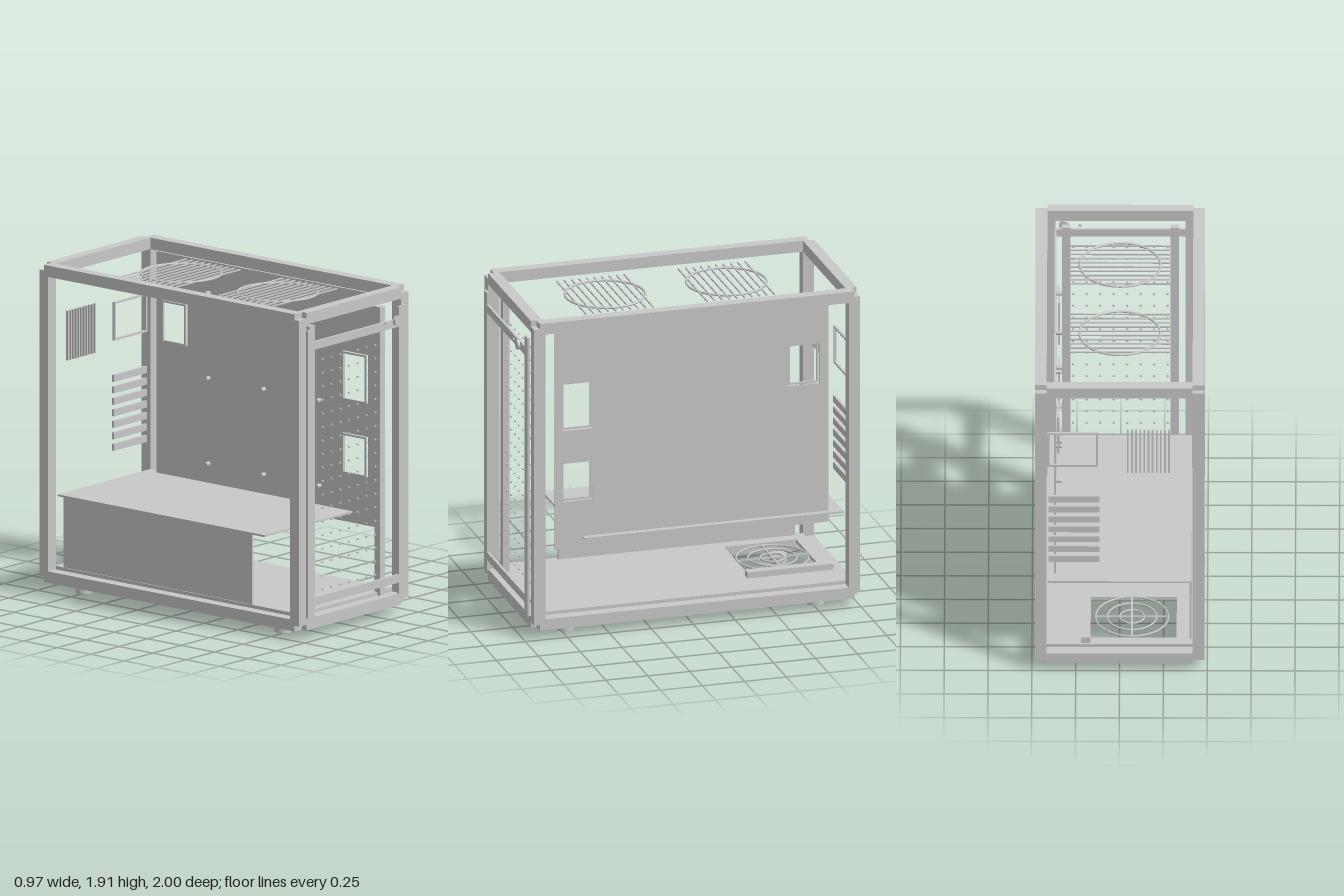
import * as THREE from 'three';

export function createModel() {
  const model = new THREE.Group();
  model.name = 'computerCase';
  const steel = new THREE.MeshStandardMaterial({ color: 0xc8c8c8 });
  steel.name = 'light grey steel';

  const group = (name) => {
    const g = new THREE.Group();
    g.name = name;
    model.add(g);
    return g;
  };
  const add = (parent, name, geometry, x = 0, y = 0, z = 0) => {
    const mesh = new THREE.Mesh(geometry, steel);
    mesh.name = name;
    mesh.position.set(x, y, z);
    parent.add(mesh);
    return mesh;
  };
  // Box given by its lower and upper limits on each axis
  const box = (parent, name, [x0, x1], [y0, y1], [z0, z1]) =>
    add(parent, name, new THREE.BoxGeometry(x1 - x0, y1 - y0, z1 - z0),
      (x0 + x1) / 2, (y0 + y1) / 2, (z0 + z1) / 2);
  const rectangle = (Type, [u0, u1], [v0, v1]) => {
    const s = new Type();
    s.moveTo(u0, v0);
    s.lineTo(u1, v0);
    s.lineTo(u1, v1);
    s.lineTo(u0, v1);
    s.closePath();
    return s;
  };
  // Flat sheet with rectangular cut-outs, extruded along its local z
  const sheet = (u, v, holes, depth) => {
    const shape = rectangle(THREE.Shape, u, v);
    for (const [hu, hv] of holes) shape.holes.push(rectangle(THREE.Path, hu, hv));
    return new THREE.ExtrudeGeometry(shape, { depth, bevelEnabled: false });
  };

  // Outer frame
  const X = 0.483, Y0 = 0.05, Y1 = 1.91, Z0 = -1, Z1 = 0.943, T = 0.067;
  const frame = group('frame');
  for (const x of [-X, X - T]) {
    for (const z of [Z0, Z1 - T])
      box(frame, 'cornerPost', [x, x + T], [Y0 + T / 2, Y1 - T / 2], [z, z + T]);
    for (const y of [Y0, Y1 - T])
      box(frame, 'sideRail', [x, x + T], [y, y + T], [Z0 + T / 2, Z1 - T / 2]);
  }
  for (const y of [Y0, Y1 - T])
    for (const z of [Z0, Z1 - T])
      box(frame, 'crossRail', [-X + T, X - T], [y, y + T], [z, z + T]);

  // Feet
  const feet = group('feet');
  for (const x of [-0.36, 0.36])
    for (const z of [-0.77, 0.72])
      add(feet, 'foot', new THREE.CylinderGeometry(0.05, 0.05, 0.05, 24), x, 0.025, z);

  // Floor with a fan opening (sheet v axis becomes -z)
  const floor = add(model, 'floor',
    sheet([-0.416, 0.416], [-0.876, 0.933], [[[-0.325, 0.175], [0.435, 0.865]]], 0.02), 0, 0.117, 0);
  floor.rotation.x = -Math.PI / 2;

  // Floor fan grille
  const floorGrille = group('floorGrille');
  for (const r of [0.07, 0.14, 0.208])
    add(floorGrille, 'grilleRing', new THREE.TorusGeometry(r, 0.006, 6, 40), -0.07, 0.139, -0.645)
      .rotation.x = Math.PI / 2;
  box(floorGrille, 'grilleSpoke', [-0.28, 0.14], [0.135, 0.143], [-0.65, -0.64]);
  box(floorGrille, 'grilleSpoke', [-0.075, -0.065], [0.135, 0.143], [-0.855, -0.435]);
  box(model, 'supportRail', [0.165, 0.22], [0.137, 0.173], [-0.92, -0.41]);

  // Power supply shroud
  const shroud = group('shroud');
  box(shroud, 'shroudTop', [-0.41, 0.41], [0.546, 0.557], [-0.925, 0.622]);
  box(shroud, 'shroudSide', [-0.41, -0.398], [0.137, 0.546], [-0.88, 0.53]);

  // Motherboard tray with cable openings (sheet u axis becomes -z)
  const openings = [
    [[-0.74, -0.56], [1.205, 1.49]],
    [[-0.74, -0.56], [0.775, 1.01]],
    [[0.61, 0.79], [1.335, 1.58]],
  ];
  const tray = group('tray');
  add(tray, 'trayPanel', sheet([-0.787, 0.845], [0.49, 1.855], openings, 0.01), 0.364, 0, 0)
    .rotation.y = Math.PI / 2;
  for (const [u, v] of openings) {
    const inner = [[u[0] + 0.011, u[1] - 0.011], [v[0] + 0.011, v[1] - 0.011]];
    add(tray, 'cableGrommet', sheet(u, v, [inner], 0.012), 0.344, 0, 0).rotation.y = Math.PI / 2;
  }
  for (const y of [0.67, 1.17, 1.67])
    for (const z of [-0.45, -0.035, 0.38])
      add(tray, 'standoff', new THREE.CylinderGeometry(0.013, 0.013, 0.032, 12), 0.348, y, z)
        .rotation.z = Math.PI / 2;

  // Roof fan grilles
  const roof = group('roofGrilles');
  for (const zc of [-0.35, 0.373]) {
    add(roof, 'fanRing', new THREE.TorusGeometry(0.23, 0.007, 8, 56), 0, 1.868, zc)
      .rotation.x = Math.PI / 2;
    for (let i = 0; i < 10; i++) {
      const z = zc + (i - 4.5) * 0.0445;
      box(roof, 'fanSlat', [-0.285, 0.285], [1.864, 1.872], [z - 0.004, z + 0.004]);
    }
  }

  // Rear: vent slats, port opening rim and expansion slot covers
  const rear = group('rear');
  for (let i = 0; i < 11; i++) {
    const x = -0.282 + i * 0.0235;
    box(rear, 'ventSlat', [x - 0.005, x + 0.005], [1.315, 1.605], [-0.965, -0.95]);
  }
  add(rear, 'portRim',
    sheet([0.122, 0.41], [1.357, 1.582], [[[0.133, 0.399], [1.368, 1.571]]], 0.015), 0, 0, -0.965);
  for (let i = 0; i < 7; i++) {
    const y = 0.732 + i * 0.0673;
    box(rear, 'slotCover', [0.115, 0.405], [y - 0.02, y + 0.02], [-0.965, -0.95]);
  }

  // Front bezel, inner posts and dust filter
  const front = group('frontPanel');
  for (const s of [-1, 1]) {
    const span = (a, b) => (s > 0 ? [a, b] : [-b, -a]);
    box(front, 'bezelStrip', span(0.37, 0.428), [0.125, 1.808], [0.95, 0.965]);
    box(front, 'innerPost', span(0.285, 0.333), [0.11, 1.808], [0.857, 0.895]);
  }
  for (const y of [0.19, 1.69])
    box(front, 'bezelCrossbar', [-0.37, 0.37], [y, y + 0.048], [0.95, 0.965]);
  const dot = new THREE.CylinderGeometry(0.006, 0.006, 0.008, 8).rotateX(Math.PI / 2);
  for (let c = 0; c < 8; c++)
    for (let r = 0; r < 19; r++)
      add(front, 'filterDot', dot, -0.27 + c * 0.077, 0.24 + r * 0.0793, 0.874);

  // Power button and status light
  const disc = (r, d) => new THREE.CylinderGeometry(r, r, d, 24).rotateX(Math.PI / 2);
  add(front, 'powerButton', disc(0.028, 0.015), 0.322, 1.74, 0.9925);
  add(front, 'statusLight', disc(0.008, 0.008), 0.23, 1.74, 0.989);

  return model;
}
